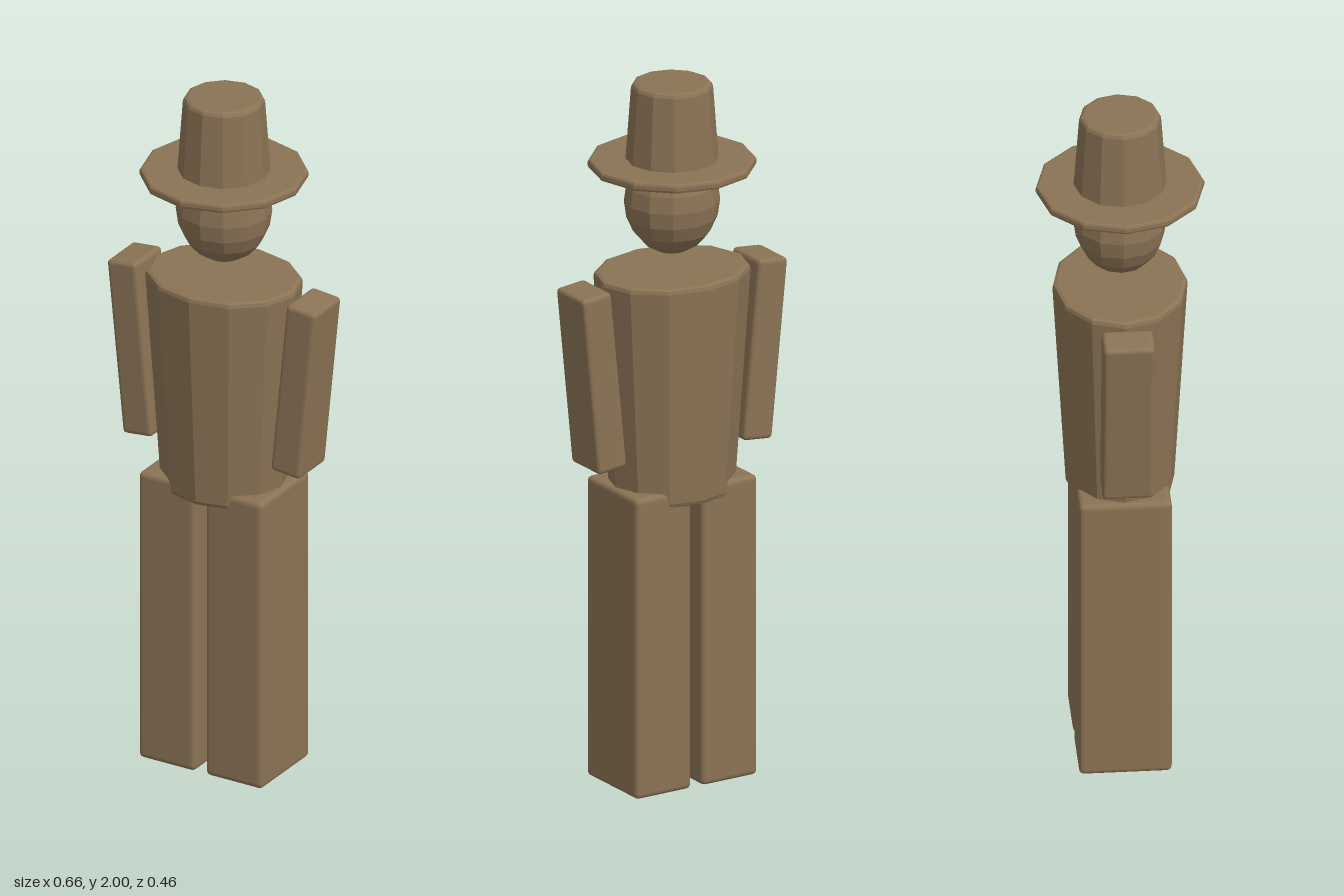
import * as THREE from 'three';
import { RoundedBoxGeometry } from 'three/addons/geometries/RoundedBoxGeometry.js';

export function createModel() {
  const model = new THREE.Group();
  model.name = 'blockFigure';
  const brown = new THREE.MeshStandardMaterial({ color: 0x8b7355, flatShading: true });
  brown.name = 'brown';

  const add = (name, geometry, x, y, z = 0) => {
    const mesh = new THREE.Mesh(geometry, brown);
    mesh.name = name;
    mesh.position.set(x, y, z);
    model.add(mesh);
    return mesh;
  };

  // Closed twelve-sided frustum with small bevelled rims
  const frustum = (rBottom, rTop, height, bevel) => {
    const slope = (rTop - rBottom) / height * bevel;
    const k = bevel * 0.3;
    const profile = [
      [0, 0], [rBottom - bevel, 0], [rBottom - k, k], [rBottom + slope, bevel],
      [rTop - slope, height - bevel], [rTop - k, height - k], [rTop - bevel, height], [0, height],
    ].map(([r, y]) => new THREE.Vector2(r, y));
    return new THREE.LatheGeometry(profile, 12);
  };

  // Torso: tapered and flattened front to back
  const torso = add('torso', frustum(0.18, 0.226, 0.645, 0.014), 0, 0.82);
  torso.scale.z = 0.82;

  // Head
  const head = add('head', new THREE.SphereGeometry(1, 12, 10), 0, 1.66);
  head.scale.set(0.133, 0.15, 0.127);

  // Hat
  add('hatBrim', frustum(0.23, 0.23, 0.026, 0.008), 0, 1.755);
  add('hatCrown', frustum(0.128, 0.111, 0.235, 0.012), 0, 1.765);

  // Arms lean in towards the hips; legs stand straight
  for (const [side, s] of [['left', 1], ['right', -1]]) {
    const arm = add(side + 'Arm', new RoundedBoxGeometry(0.094, 0.515, 0.14, 2, 0.012), s * 0.261, 1.197);
    arm.rotation.z = -s * 0.1;
    add(side + 'Leg', new RoundedBoxGeometry(0.18, 0.865, 0.253, 2, 0.014), s * 0.107, 0.4325);
  }

  return model;
}
